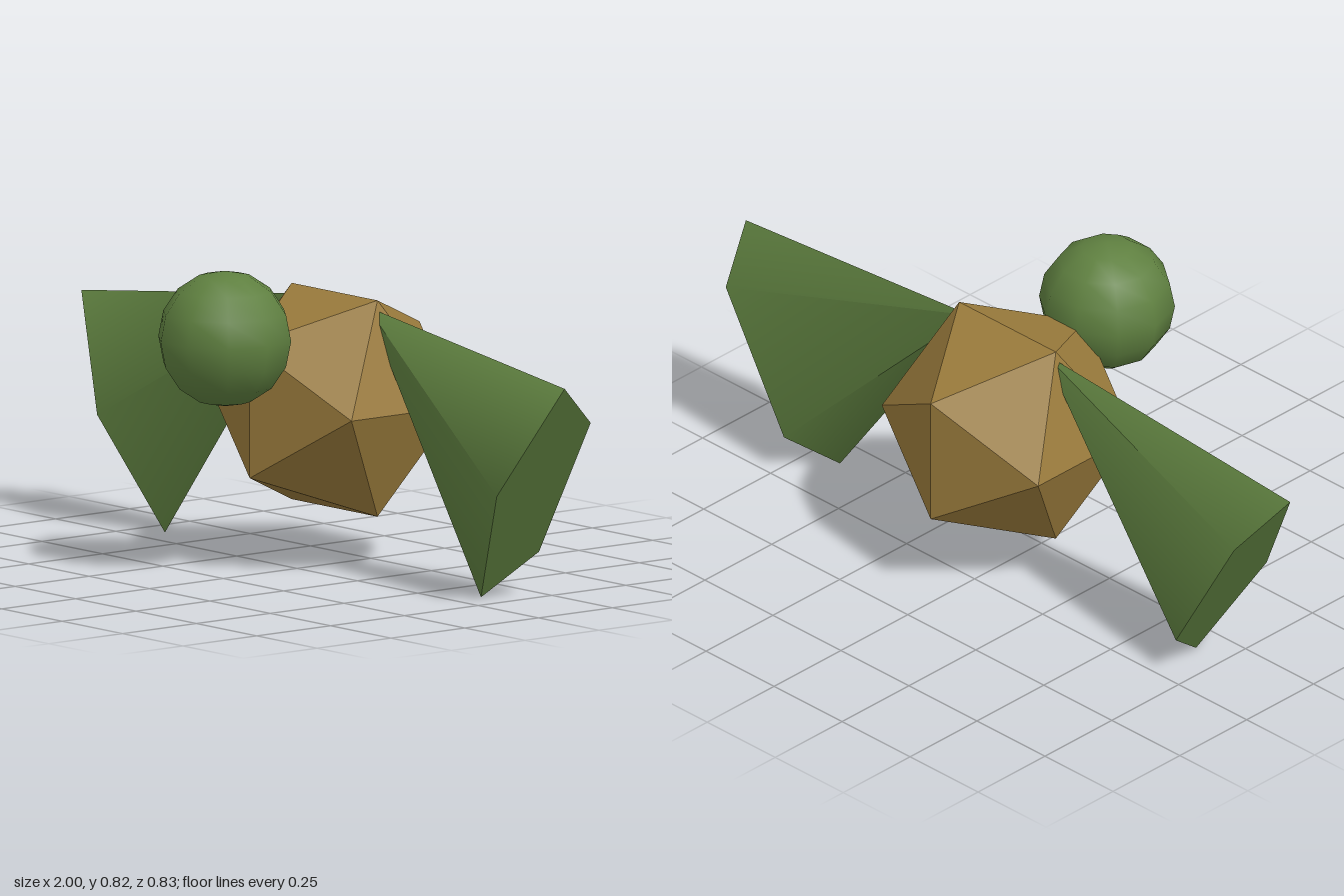
import * as THREE from 'three';

export function createModel() {
  const model = new THREE.Group();
  const green = new THREE.MeshStandardMaterial({ color: 0x5f8040 });
  const tan = new THREE.MeshStandardMaterial({ color: 0x9a7b3c, flatShading: true });

  const add = (name, geometry, material, x, y, z) => {
    const mesh = new THREE.Mesh(geometry, material);
    mesh.name = name;
    mesh.position.set(x, y, z);
    model.add(mesh);
    return mesh;
  };

  // Faceted body
  add('body', new THREE.IcosahedronGeometry(0.338, 0), tan, 0, 0.435, -0.127);

  // Low-poly round head, set forward and high
  add('head', new THREE.SphereGeometry(0.18, 10, 8), green, 0, 0.638, 0.245);

  // Wings: flattened five-sided cones, tips buried in the body
  const wingShape = new THREE.ConeGeometry(0.364, 0.8, 5);
  for (const side of [1, -1]) {
    const wing = add(side > 0 ? 'leftWing' : 'rightWing', wingShape, green, side * 0.481, 0.5, -0.127);
    wing.rotation.z = side * Math.PI / 3;
    wing.scale.z = 0.35;
  }

  return model;
}
